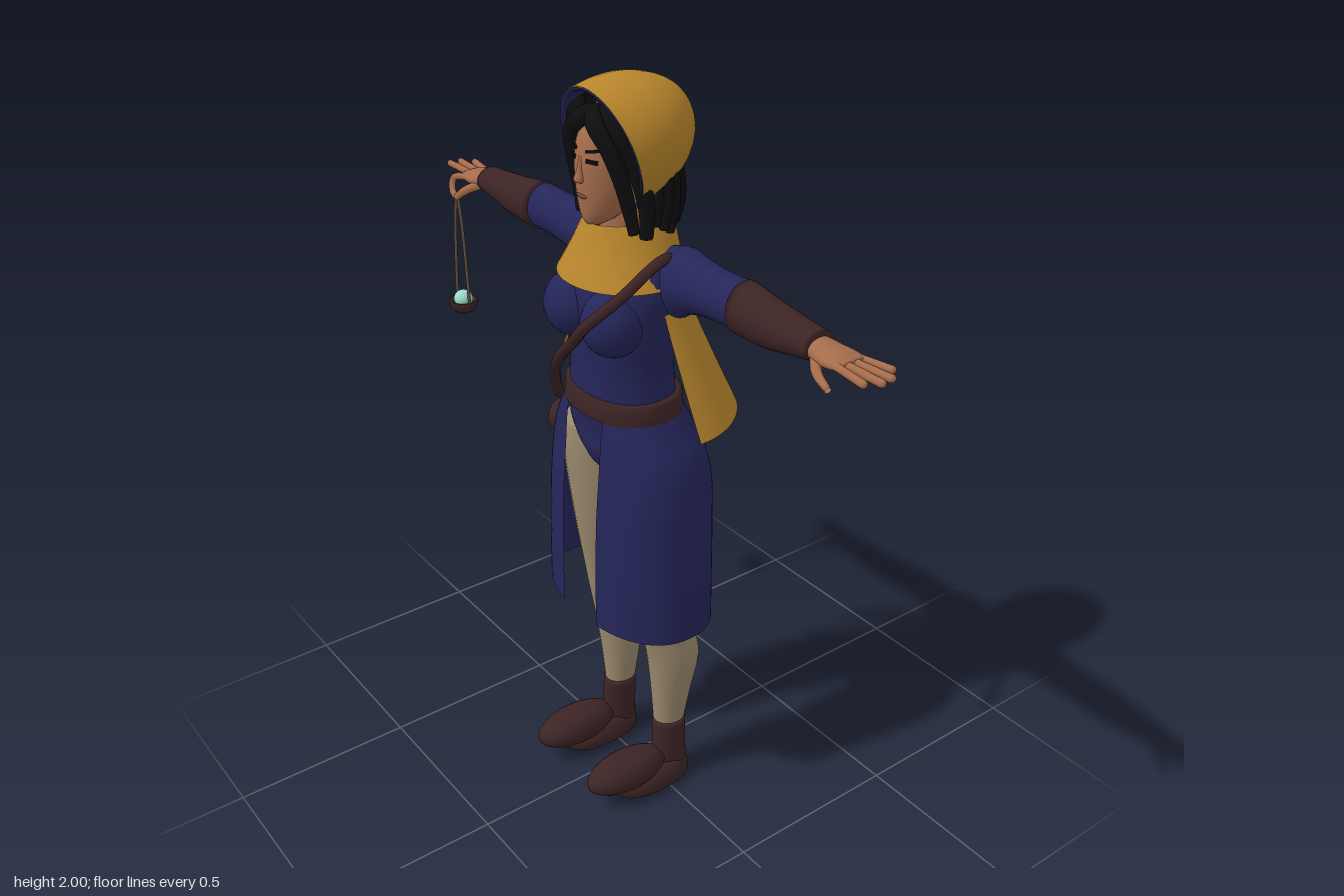
import * as THREE from 'three';

const mat = (name, color, side = THREE.DoubleSide) => new THREE.MeshStandardMaterial({ name, color, side });
const M = {
  ochre: mat('ochre cloth', 0xb9862c), navy: mat('navy cloth', 0x25265a), leather: mat('brown leather', 0x3d2425),
  skin: mat('skin', 0xa56c4b), stocking: mat('stocking', 0x9c8b6e), hair: mat('black hair', 0x0e0d0f),
  cord: mat('cord', 0x66543f), glow: mat('pale teal glass', 0x9adccc), lip: mat('lips', 0x7d4436),
};
const V = (x, y, z) => new THREE.Vector3(x, y, z);

// Catmull-Rom subdivision of a list of rings
function smooth(rings, k = 4) {
  const out = [], n = rings.length - 1;
  const cubic = (p, a, b, q, t) =>
    a + 0.5 * t * (b - p + t * (2 * p - 5 * a + 4 * b - q + t * (3 * (a - b) + q - p)));
  for (let i = 0; i < n; i++) {
    const [p, a, b, q] = [i - 1, i, i + 1, i + 2].map(j => rings[Math.min(n, Math.max(0, j))]);
    for (let s = 0; s < k; s++) out.push(a.map((_, c) => cubic(p[c], a[c], b[c], q[c], s / k)));
  }
  return [...out, rings[n]];
}

// Skin over rings [height, centreX, centreZ, radiusX, radiusZ]; arc(ring) gives start and end angle if open
function loft(rings, { seg = 28, arc, cap = true, pow = 2 } = {}) {
  const pos = [], idx = [], w = arc ? seg + 1 : seg;
  const f = v => Math.sign(v) * Math.abs(v) ** (2 / pow);
  rings.forEach(r => {
    const [t0, t1] = arc ? arc(r) : [0, Math.PI * 2];
    for (let j = 0; j < w; j++) {
      const t = t0 + (t1 - t0) * j / seg;
      pos.push(r[1] + r[3] * f(Math.cos(t)), r[0], r[2] + r[4] * f(Math.sin(t)));
    }
  });
  for (let i = 0; i < rings.length - 1; i++) for (let j = 0; j < seg; j++) {
    const a = i * w + j, c = i * w + (j + 1) % w;
    idx.push(a, a + w, c, a + w, c + w, c);
  }
  if (cap && !arc) [0, rings.length - 1].forEach((i, top) => {
    const c = pos.length / 3, r = rings[i];
    pos.push(r[1], r[0], r[2]);
    for (let j = 0; j < seg; j++) {
      const a = i * w + j, b = i * w + (j + 1) % w;
      idx.push(...(top ? [a, c, b] : [a, b, c]));
    }
  });
  const g = new THREE.BufferGeometry();
  g.setAttribute('position', new THREE.Float32BufferAttribute(pos, 3));
  g.setIndex(idx);
  g.computeVertexNormals();
  return g;
}

const ball = (x, y, z, rx, ry, rz) => new THREE.SphereGeometry(1, 24, 16).scale(rx, ry, rz).translate(x, y, z);

// Round strand through points, thinning to `end` of its radius
function strand(pts, r, end = 1, seg = 12, closed = false) {
  const path = new THREE.CatmullRomCurve3(pts.map(p => V(...p)), closed), sides = 8;
  const g = new THREE.TubeGeometry(path, seg, r, sides, closed), p = g.attributes.position;
  for (let i = 0; i < p.count && end !== 1; i++) {
    const u = Math.floor(i / (sides + 1)) / seg, c = path.getPointAt(u);
    const v = V(0, 0, 0).fromBufferAttribute(p, i).sub(c).multiplyScalar(1 + (end - 1) * u * u).add(c);
    p.setXYZ(i, v.x, v.y, v.z);
  }
  return g;
}

// Capsule from a to b
function finger(a, b, r) {
  const A = V(...a), B = V(...b), d = B.clone().sub(A);
  const g = new THREE.CapsuleGeometry(r, d.length(), 4, 10);
  g.applyQuaternion(new THREE.Quaternion().setFromUnitVectors(V(0, 1, 0), d.normalize()));
  return g.translate(...A.add(B).multiplyScalar(0.5).toArray());
}

function mirrored(g) {
  const m = g.clone().scale(-1, 1, 1), ix = m.index.array;
  for (let i = 0; i < ix.length; i += 3) [ix[i], ix[i + 1]] = [ix[i + 1], ix[i]];
  return m;
}

export function createModel() {
  const root = new THREE.Group();
  root.name = 'hoodedFigure';
  const add = (name, g, m) => {
    const mesh = new THREE.Mesh(g, m);
    mesh.name = name;
    root.add(mesh);
  };
  const pair = (name, g, m) => { add('left' + name, g, m); add('right' + name, mirrored(g), m); };

  // Legs and shoes
  pair('Leg', loft(smooth([[.17, .115, -.038, .036, .043], [.3, .118, -.043, .052, .058], [.42, .122, -.045, .066, .075],
    [.52, .12, -.025, .06, .076], [.6, .12, -.015, .063, .08], [.8, .112, 0, .086, .1], [1, .115, .01, .1, .112],
    [1.09, .11, .015, .09, .105]])), M.stocking);
  pair('ShoeCuff', loft(smooth([[.02, .122, -.03, .046, .06], [.1, .12, -.036, .042, .052], [.2, .117, -.038, .042, .049]])), M.leather);
  pair('ShoeToe', ball(.123, .082, .115, .062, .054, .128), M.leather);
  pair('ShoeSole', loft([[.0, .124, .03, .05, .1], [.012, .124, .03, .064, .12], [.04, .124, .03, .062, .12], [.07, .124, .03, .045, .09]], { pow: 2.4 }), M.leather);

  // Body
  add('torso', loft(smooth([[.97, 0, .01, .02, .05], [1.02, 0, .015, .06, .1], [1.07, 0, .015, .13, .12], [1.12, 0, .015, .18, .122],
    [1.2, 0, .03, .155, .117], [1.3, 0, .035, .142, .113], [1.4, 0, .035, .155, .118], [1.5, 0, .03, .168, .122],
    [1.57, 0, .015, .15, .105], [1.63, 0, .01, .08, .075]]), { pow: 2.2 }), M.navy);
  pair('Bust', ball(.078, 1.44, .115, .078, .085, .082), M.navy);
  pair('Seat', ball(.085, 1.08, -.04, .085, .085, .085), M.navy);

  // Split skirt, open at front and back
  const gap = .073, pw = 2.3;
  pair('SkirtPanel', loft(smooth([[.58, 0, .012, .265, .168], [.75, 0, .012, .262, .167], [.9, 0, .01, .256, .165], [1, 0, .008, .25, .16],
    [1.08, 0, .012, .232, .15], [1.14, 0, .022, .198, .137], [1.2, 0, .03, .163, .122]]),
  { pow: pw, arc: r => { const t = Math.acos((gap / r[3]) ** (pw / 2)); return [-t, t]; } }), M.navy);

  // Belt, shoulder strap and pouch
  add('belt', loft([[1.175, 0, .03, .166, .122], [1.18, 0, .03, .173, .129], [1.23, 0, .031, .168, .126], [1.235, 0, .031, .155, .115]], { pow: 2.2 }), M.leather);
  add('strap', strand([[-.215, 1.11, .06], [-.15, 1.22, .135], [-.07, 1.31, .172], [.02, 1.39, .192], [.085, 1.455, .2], [.14, 1.53, .14],
    [.15, 1.6, .02], [.08, 1.5, -.09], [-.05, 1.35, -.1], [-.18, 1.18, -.06]], .014, 1, 80, true), M.leather);
  add('pouch', ball(-.242, 1.035, .05, .033, .052, .048), M.leather);

  // Cape with lining
  const back = { arc: () => [Math.PI, Math.PI * 2], seg: 40 };
  const cape = [[1.18, 0, .022, .3, .264], [1.3, 0, .026, .24, .215], [1.45, 0, .03, .17, .157], [1.55, 0, .03, .138, .13], [1.63, 0, .03, .1, .105]];
  add('cape', loft(smooth(cape), back), M.ochre);
  add('capeLining', loft(smooth(cape.map(([y, x, z, a, b]) => [y + .004, x, z - .004, a - .008, b - .008])), back), M.navy);
  add('collar', loft(smooth([[1.53, 0, .036, .166, .15], [1.6, 0, .025, .126, .131], [1.67, 0, .015, .09, .115]]), { cap: false, seg: 40 }), M.ochre);

  // Arms, rings run outward along x
  const along = rings => loft(smooth(rings.map(([x, y, z, ry, rz]) => [x, -y, z, ry, rz]))).rotateZ(Math.PI / -2);
  pair('Sleeve', along([[.08, 1.53, -.035, .07, .055], [.15, 1.53, -.033, .088, .075], [.21, 1.547, -.022, .073, .062],
    [.3, 1.558, -.014, .06, .055], [.41, 1.563, -.01, .06, .053]]), M.navy);
  pair('Bracer', along([[.4, 1.563, -.008, .064, .057], [.5, 1.558, -.006, .055, .051], [.6, 1.563, -.003, .041, .043], [.65, 1.567, 0, .034, .041]]), M.leather);
  pair('Palm', along([[.63, 1.565, 0, .025, .03], [.68, 1.56, 0, .024, .042], [.72, 1.56, -.002, .018, .046], [.745, 1.56, -.004, .01, .04]]), M.skin);
  [[-.04, .81], [-.016, .838], [.01, .842]].forEach(([z, x], i) =>
    pair('Finger' + (i + 1), finger([.73, 1.56, z * .9], [x, 1.562, z * 1.2], .0095), M.skin));
  add('leftIndexFinger', finger([.73, 1.56, .03], [.82, 1.56, .042], .0095), M.skin);
  add('leftThumb', strand([[.66, 1.553, .02], [.7, 1.538, .052], [.75, 1.525, .068]], .013, .6), M.skin);
  add('rightIndexFinger', strand([[-.72, 1.56, .03], [-.765, 1.548, .048], [-.755, 1.52, .06], [-.725, 1.505, .065]], .01, .8), M.skin);
  add('rightThumb', strand([[-.66, 1.553, .02], [-.69, 1.535, .052], [-.722, 1.508, .068]], .013, .7), M.skin);

  // Hanging lamp: cords, bowl and glass ball
  const [lx, lz] = [-.722, .066];
  for (const s of [-1, 1]) add('lampCord', strand([[lx + s * .004, 1.515, lz], [lx + s * .019, 1.42, lz], [lx + s * .034, 1.2, lz]], .0045), M.cord);
  const bowl = [[0, 1.17], [.025, 1.172], [.037, 1.185], [.041, 1.205], [.034, 1.205], [.028, 1.19], [0, 1.185]];
  add('lampBowl', new THREE.LatheGeometry(bowl.map(p => new THREE.Vector2(...p)), 24).translate(lx, 0, lz), M.leather);
  add('lampGlass', ball(lx, 1.208, lz, .027, .025, .027), M.glow);

  // Head and face
  add('neck', new THREE.CylinderGeometry(.045, .055, .16, 20).translate(0, 1.65, .035), M.skin);
  add('head', loft(smooth([[1.664, 0, .112, .016, .018], [1.685, 0, .092, .042, .05], [1.73, 0, .071, .066, .077], [1.78, 0, .065, .076, .086],
    [1.83, 0, .06, .08, .089], [1.88, 0, .05, .076, .086], [1.93, 0, .045, .05, .06]])), M.skin);
  add('nose', loft(smooth([[1.768, 0, .148, .007, .006], [1.776, 0, .152, .013, .014], [1.8, 0, .148, .008, .01], [1.83, 0, .143, .006, .008]]), { seg: 12 }), M.skin);
  add('mouth', ball(0, 1.737, .146, .019, .006, .006), M.lip);
  const plate = (w, h, x, y, z, tilt) => new THREE.BoxGeometry(w, h, .008).rotateZ(tilt).rotateY(.42).translate(x, y, z);
  pair('Eye', plate(.03, .009, .034, 1.823, .14, -.05), M.hair);
  pair('Brow', plate(.036, .006, .034, 1.847, .137, .2), M.hair);

  // Hair: cap, parted fringe and a bob of locks
  add('hairCap', ball(0, 1.855, .02, .1, .1, .1), M.hair);
  pair('Fringe', strand([[-.004, 1.925, .105], [.035, 1.902, .128], [.07, 1.86, .12], [.088, 1.79, .1], [.098, 1.7, .08], [.105, 1.66, .075]], .024, .6, 20), M.hair);
  pair('SideLock', strand([[.03, 1.94, .09], [.08, 1.9, .1], [.103, 1.82, .07], [.112, 1.72, .045], [.112, 1.645, .045]], .026, .6, 20), M.hair);
  for (let i = 0; i < 15; i++) {
    const a = (i / 14 - .5) * 3.7, s = Math.sin(a), c = Math.cos(a), low = 1.64 + .012 * (i % 3);
    add('hairLock', strand([[s * .085, 1.86, -.01 - c * .06], [s * .1, 1.78, -.015 - c * .075], [s * .108, 1.71, -.015 - c * .085],
      [s * .104, low, -.012 - c * .078]], .024, .45), M.hair);
  }

  // Hood, rings run from the tilted face opening to the back
  const hood = rings => loft(smooth(rings), { cap: false, seg: 40 }).rotateX(-1.27).translate(0, 1.83, .09);
  const shell = [[0, 0, 0, .145, .16], [.06, 0, 0, .147, .155], [.12, 0, 0, .138, .14], [.17, 0, 0, .117, .115], [.21, 0, 0, .084, .084],
    [.235, 0, 0, .046, .048], [.246, 0, 0, .002, .002]];
  add('hood', hood(shell), M.ochre);
  add('hoodLining', hood([[-.002, 0, 0, .144, .159], [.006, 0, 0, .132, .147],
    ...shell.slice(1, 5).map(([y, , , a, b]) => [y, 0, 0, a - .012, b - .012])]), M.navy);
  return root;
}
